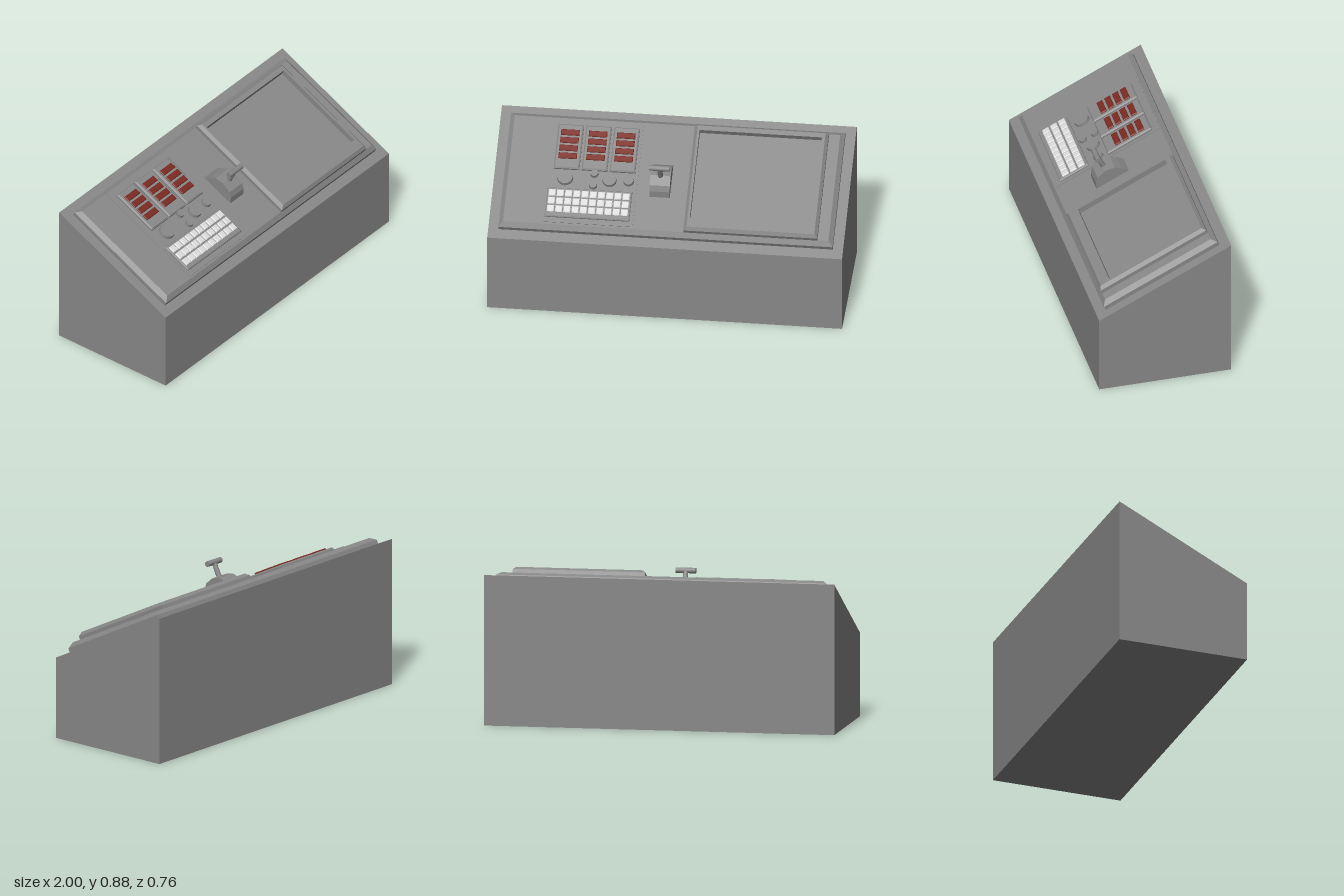
import * as THREE from 'three';

const grey = new THREE.MeshStandardMaterial({ color: 0x888888 });
grey.name = 'console grey';
const red = new THREE.MeshStandardMaterial({ color: 0x7a2a22 });
red.name = 'indicator red';
const white = new THREE.MeshStandardMaterial({ color: 0xdcdcdc });
white.name = 'key white';

function add(parent, name, geometry, material, x = 0, y = 0, z = 0) {
  const mesh = new THREE.Mesh(geometry, material);
  mesh.name = name;
  mesh.position.set(x, y, z);
  parent.add(mesh);
  return mesh;
}

// Flat-shaded skin through a stack of rectangles [x0, x1, z0, z1, y]; the last one may be capped
function rectLoft(sections, cap = true) {
  const rings = sections.map(([x0, x1, z0, z1, y]) => [[x0, y, z1], [x1, y, z1], [x1, y, z0], [x0, y, z0]]);
  const pos = [];
  const quad = (a, b, c, d) => pos.push(...a, ...b, ...c, ...a, ...c, ...d);
  for (let r = 0; r < rings.length - 1; r++) {
    for (let i = 0; i < 4; i++) {
      const j = (i + 1) % 4;
      quad(rings[r][i], rings[r][j], rings[r + 1][j], rings[r + 1][i]);
    }
  }
  if (cap) quad(...rings[rings.length - 1]);
  const g = new THREE.BufferGeometry();
  g.setAttribute('position', new THREE.Float32BufferAttribute(pos, 3));
  g.computeVertexNormals();
  return g;
}

// Block with a chamfered top
function chamferBlock(x0, x1, z0, z1, y0, y1, c) {
  return rectLoft([[x0, x1, z0, z1, y0], [x0, x1, z0, z1, y1 - c], [x0 + c, x1 - c, z0 + c, z1 - c, y1]]);
}

// Side outline of [z, y] points, extruded across x
function sideExtrude(points, x0, x1) {
  const shape = new THREE.Shape(points.map(([z, y]) => new THREE.Vector2(z, y)));
  const g = new THREE.ExtrudeGeometry(shape, { depth: x1 - x0, bevelEnabled: false });
  g.rotateY(-Math.PI / 2);
  g.translate(x1, 0, 0);
  return g;
}

export function createModel() {
  const model = new THREE.Group();
  model.name = 'controlConsole';

  // Wedge-shaped cabinet
  add(model, 'cabinet', sideExtrude([[-0.382, 0], [0.382, 0], [0.382, 0.471], [-0.382, 0.852]], -1, 1), grey);

  // Everything else sits on the sloped deck
  const deck = new THREE.Group();
  deck.name = 'slopedDeck';
  deck.position.y = 0.6615;
  deck.rotation.x = Math.atan2(0.381, 0.764);
  model.add(deck);

  const top = 0.048;
  add(deck, 'deckPanel', rectLoft([
    [-0.942, 0.942, -0.368, 0.368, -0.005],
    [-0.942, 0.942, -0.368, 0.368, 0.025],
    [-0.917, 0.917, -0.342, 0.342, top],
  ]), grey);

  // Monitor frame with a recessed screen
  add(deck, 'monitorFrame', rectLoft([
    [0.1, 0.855, -0.343, 0.343, top - 0.004],
    [0.1, 0.855, -0.343, 0.343, 0.069],
    [0.117, 0.838, -0.326, 0.326, 0.087],
    [0.131, 0.82, -0.297, 0.267, 0.087],
    [0.131, 0.82, -0.297, 0.267, 0.054],
  ], false), grey);
  const screen = new THREE.PlaneGeometry(0.689, 0.564).rotateX(-Math.PI / 2);
  add(deck, 'screen', screen, grey, 0.4755, 0.054, -0.015);

  // Instrument plate
  add(deck, 'instrumentPlate', rectLoft([
    [-0.704, -0.188, -0.338, 0.33, top - 0.002],
    [-0.704, -0.188, -0.338, 0.33, top + 0.003],
  ]), grey);

  // Three indicator blocks, each with four red bars
  for (const x of [-0.593, -0.436, -0.278]) {
    const block = new THREE.Group();
    block.name = 'indicatorBlock';
    block.position.x = x;
    deck.add(block);
    add(block, 'indicatorHousing', chamferBlock(-0.072, 0.072, -0.295, -0.012, top, 0.068, 0.007), grey);
    for (let i = 0; i < 4; i++) {
      const z = -0.24 + i * 0.05;
      add(block, 'indicatorBar', chamferBlock(-0.052, 0.052, z - 0.018, z + 0.018, 0.066, 0.076, 0.004), red);
    }
  }

  // Round buttons: x, z, radius
  for (const [x, z, r] of [[-0.595, 0.045, 0.046], [-0.434, 0.008, 0.023], [-0.434, 0.083, 0.023],
    [-0.345, 0.045, 0.04], [-0.238, 0.043, 0.03]]) {
    add(deck, 'roundButton', new THREE.CylinderGeometry(r * 0.92, r, 0.02, 16), grey, x, 0.059, z);
  }

  // Keyboard
  add(deck, 'keyboardBase', chamferBlock(-0.687, -0.21, 0.113, 0.298, top, 0.063, 0.005), grey);
  for (let row = 0; row < 3; row++) {
    for (let col = 0; col < 10; col++) {
      const x = -0.657 + col * 0.0463;
      const z = 0.15 + row * 0.051;
      add(deck, 'key', chamferBlock(x - 0.02, x + 0.02, z - 0.021, z + 0.021, 0.061, 0.074, 0.004), white);
    }
  }

  // Lever with a faceted mount and a T-shaped grip
  add(deck, 'leverMount', sideExtrude([[-0.084, 0.044], [0.13, 0.044], [0.114, 0.085], [0.09, 0.112],
    [0.032, 0.127], [-0.023, 0.114], [-0.053, 0.085]], -0.113, 0.002), grey);
  add(deck, 'leverStem', new THREE.CylinderGeometry(0.014, 0.015, 0.1, 10), grey, -0.056, 0.16, 0.032);
  const grip = new THREE.CylinderGeometry(0.016, 0.016, 0.115, 12).rotateZ(Math.PI / 2);
  add(deck, 'leverGrip', grip, grey, -0.056, 0.211, 0.033);

  return model;
}
